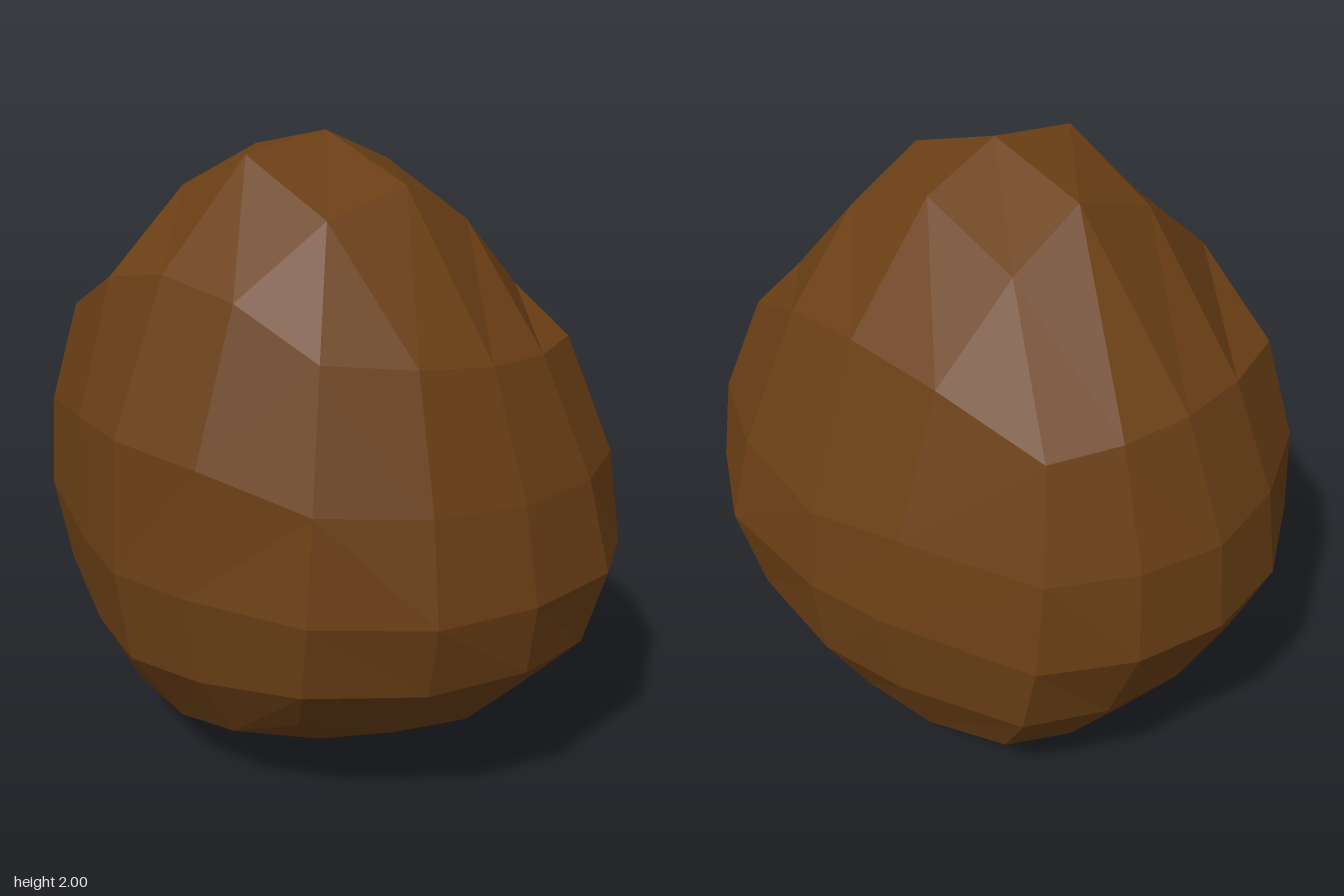
import * as THREE from 'three';

// Three girdling outlines, 16 points each, walked clockwise from the middle of the upper side
const FRONT = [[0.03, 2], [0.39, 1.87], [0.77, 1.4], [0.92, 1.02], [0.98, 0.72], [0.95, 0.5], [0.71, 0.24], [0.4, 0.09],
  [0.03, 0], [-0.33, 0.12], [-0.63, 0.17], [-0.84, 0.46], [-0.99, 0.77], [-0.96, 1.06], [-0.8, 1.43], [-0.34, 1.92]]; // x, y
const SIDE = [[-0.02, 2], [0.29, 1.95], [0.6, 1.63], [0.79, 1.16], [0.81, 0.74], [0.76, 0.44], [0.58, 0.18], [0.33, 0.05],
  [0, 0], [-0.35, 0.04], [-0.6, 0.16], [-0.76, 0.43], [-0.8, 0.72], [-0.77, 0.99], [-0.58, 1.53], [-0.28, 1.89]]; // z, y
const PLAN = [[0.03, 0.8], [0.31, 0.75], [0.68, 0.59], [0.91, 0.3], [0.98, -0.03], [0.95, -0.38], [0.8, -0.61], [0.47, -0.79],
  [0.03, -0.81], [-0.28, -0.76], [-0.77, -0.58], [-0.93, -0.32], [-0.99, -0.03], [-0.93, 0.28], [-0.74, 0.57], [-0.24, 0.75]]; // x, z

// Corners of the rounded cage: lattice signs, then position
const CORNERS = [
  [[2, 2, 2], [0.58, 1.45, 0.46]], [[-2, 2, 2], [-0.66, 1.4, 0.49]],
  [[2, 2, -2], [0.62, 1.38, -0.52]], [[-2, 2, -2], [-0.67, 1.4, -0.46]],
  [[2, -2, 2], [0.53, 0.33, 0.5]], [[-2, -2, 2], [-0.53, 0.25, 0.48]],
  [[2, -2, -2], [0.57, 0.3, -0.52]], [[-2, -2, -2], [-0.55, 0.25, -0.5]],
];

// Lattice cells around a 4 x 4 square, in the same order as the outlines
const LOOP = [[0, 2], [1, 2], [2, 2], [2, 1], [2, 0], [2, -1], [2, -2], [1, -2],
  [0, -2], [-1, -2], [-2, -2], [-2, -1], [-2, 0], [-2, 1], [-2, 2], [-1, 2]];

function buildCage() {
  const points = new Map();
  const set = (cell, p) => points.set(cell.join(), new THREE.Vector3(...p));
  const get = (cell) => points.get(cell.join());

  LOOP.forEach(([a, b], n) => {
    const [px, pz] = PLAN[n], [fx, fy] = FRONT[n], [sz, sy] = SIDE[n];
    set([a, 0, b], [px, 0.745 - 0.025 * px, pz]);
    set([a, b, 0], [fx, fy, -0.03]);
    set([0, b, a], [0.03, sy, sz]);
  });
  CORNERS.forEach(([cell, p]) => set(cell, p));

  // Cell on the face across an axis; u and v run along the next two axes
  const cellOn = (axis, side, u, v) => {
    const c = [0, 0, 0];
    c[axis] = side;
    c[(axis + 1) % 3] = u;
    c[(axis + 2) % 3] = v;
    return c;
  };

  // Quarter points of the cage edges, on a parabola through corner, middle, corner
  for (let axis = 0; axis < 3; axis++)
    for (const u of [-2, 2]) for (const v of [-2, 2]) for (const t of [-1, 1]) {
      const p = new THREE.Vector3()
        .addScaledVector(get(cellOn(axis, 2 * t, u, v)), 0.375)
        .addScaledVector(get(cellOn(axis, 0, u, v)), 0.75)
        .addScaledVector(get(cellOn(axis, -2 * t, u, v)), -0.125);
      set(cellOn(axis, t, u, v), p.toArray());
    }

  // Centre of each face quadrant, blended from its surrounding outline
  for (let axis = 0; axis < 3; axis++)
    for (const side of [-2, 2]) for (const u of [-1, 1]) for (const v of [-1, 1]) {
      const p = new THREE.Vector3();
      for (const [a, b, w] of [[0, 1, 0.5], [2, 1, 0.5], [1, 0, 0.5], [1, 2, 0.5],
        [0, 0, -0.25], [2, 0, -0.25], [0, 2, -0.25], [2, 2, -0.25]])
        p.addScaledVector(get(cellOn(axis, side, a * u, b * v)), w);
      set(cellOn(axis, side, u, v), p.toArray());
    }
  return { get, cellOn };
}

function shellGeometry() {
  const { get, cellOn } = buildCage();
  const positions = [];
  for (let axis = 0; axis < 3; axis++)
    for (const side of [-2, 2])
      for (let u = -2; u < 2; u++) for (let v = -2; v < 2; v++) {
        const quad = [[u, v], [u + 1, v], [u + 1, v + 1], [u, v + 1]]
          .map(([a, b]) => get(cellOn(axis, side, a, b)));
        if (side < 0) quad.reverse();
        for (const n of [0, 1, 2, 0, 2, 3]) positions.push(...quad[n].toArray());
      }
  const geometry = new THREE.BufferGeometry();
  geometry.setAttribute('position', new THREE.Float32BufferAttribute(positions, 3));
  geometry.computeVertexNormals();
  return geometry;
}

export function createModel() {
  const group = new THREE.Group();
  group.name = 'nut';
  const shell = new THREE.Mesh(
    shellGeometry(),
    new THREE.MeshStandardMaterial({ color: 0x6b3f15, flatShading: true }),
  );
  shell.name = 'shell';
  group.add(shell);
  return group;
}
